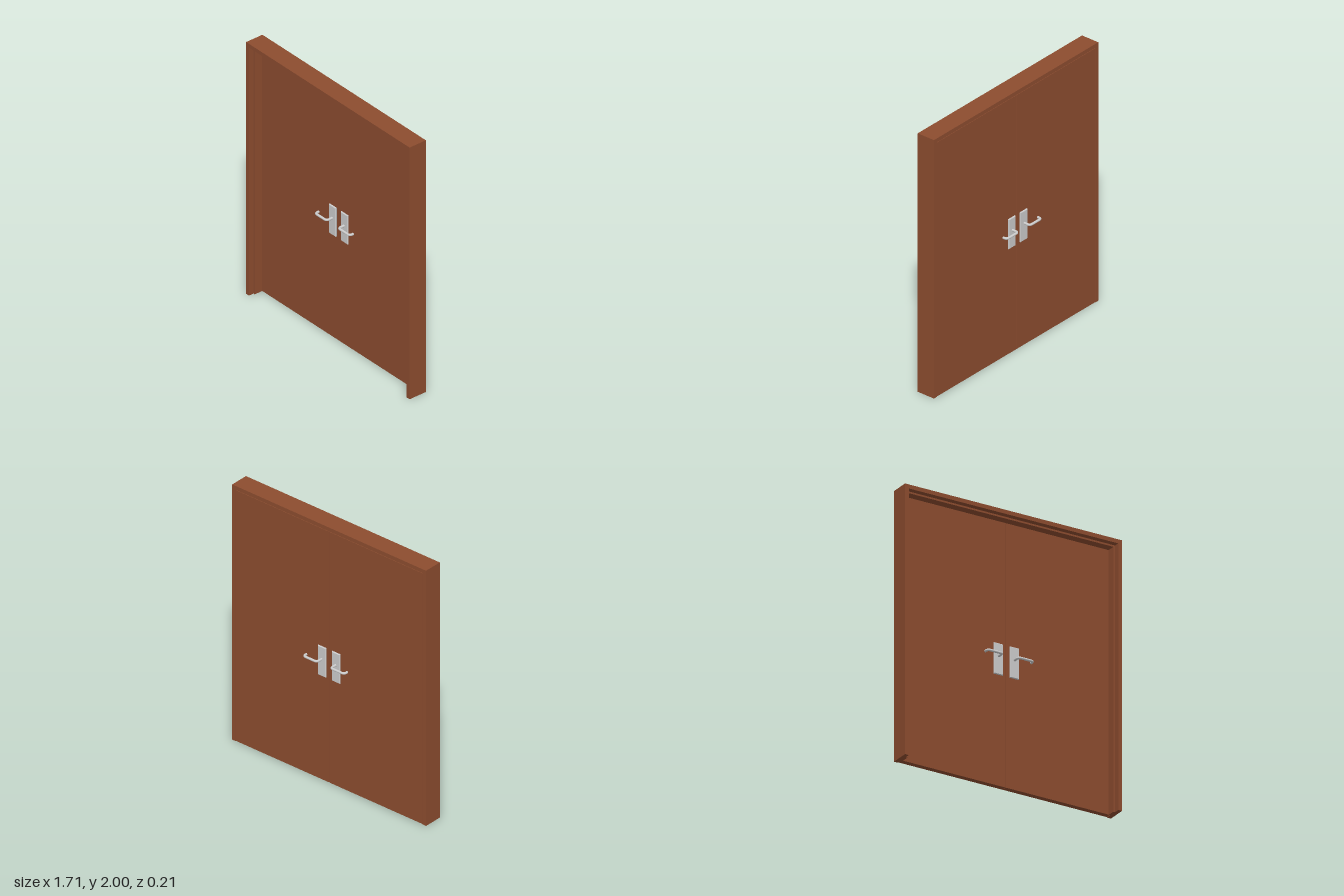
import * as THREE from 'three';

const wood = new THREE.MeshStandardMaterial({ color: 0x8c4c2f });
const metal = new THREE.MeshStandardMaterial({ color: 0xcccccc });

const DOOR_BACK = -0.035, DOOR_FRONT = 0.005;

function addMesh(parent, name, geometry, material) {
  const mesh = new THREE.Mesh(geometry, material);
  mesh.name = name;
  parent.add(mesh);
  return mesh;
}

// Two jambs and a head in one piece, open at the floor
function portal(outerX, outerY, innerX, innerY, z0, z1) {
  const shape = new THREE.Shape([
    [-outerX, 0], [-innerX, 0], [-innerX, innerY], [innerX, innerY],
    [innerX, 0], [outerX, 0], [outerX, outerY], [-outerX, outerY],
  ].map(([x, y]) => new THREE.Vector2(x, y)));
  return new THREE.ExtrudeGeometry(shape, { depth: z1 - z0, bevelEnabled: false }).translate(0, 0, z0);
}

// Plate with chamfered front edges, standing on z = 0
function plateGeometry(w, h, d, bevel) {
  const x = w / 2 - bevel, y = h / 2 - bevel;
  const shape = new THREE.Shape([[-x, -y], [x, -y], [x, y], [-x, y]].map(p => new THREE.Vector2(...p)));
  return new THREE.ExtrudeGeometry(shape, {
    depth: d - 2 * bevel, bevelEnabled: true, bevelSize: bevel, bevelThickness: bevel, bevelSegments: 1,
  }).translate(0, 0, bevel);
}

// Lever path: out from the plate, sideways, then back toward the door
function leverGeometry(dir, radius) {
  const reach = 0.118 * dir, out = 0.063, bend = 0.022, b = bend * dir;
  const v = (x, z) => new THREE.Vector3(x, 0, z);
  const path = new THREE.CurvePath();
  path.add(new THREE.LineCurve3(v(0, 0), v(0, out - bend)));
  path.add(new THREE.QuadraticBezierCurve3(v(0, out - bend), v(0, out), v(b, out)));
  path.add(new THREE.LineCurve3(v(b, out), v(reach - b, out)));
  path.add(new THREE.QuadraticBezierCurve3(v(reach - b, out), v(reach, out), v(reach, out - bend)));
  path.add(new THREE.LineCurve3(v(reach, out - bend), v(reach, 0.032)));
  return new THREE.TubeGeometry(path, 48, radius, 14, false);
}

// Handle facing +z, lever pointing toward dir
function makeHandle(name, dir) {
  const radius = 0.009;
  const handle = new THREE.Group();
  handle.name = name;
  addMesh(handle, 'handlePlate', plateGeometry(0.073, 0.23, 0.014, 0.004), metal);
  const lever = new THREE.Group();
  lever.name = 'lever';
  lever.position.y = 0.02;
  handle.add(lever);
  addMesh(lever, 'leverBar', leverGeometry(dir, radius), metal);
  // Flat end of the bar faces the door
  const cap = addMesh(lever, 'leverEnd', new THREE.CircleGeometry(radius, 14), metal);
  cap.position.set(0.118 * dir, 0, 0.032);
  cap.rotation.y = Math.PI;
  return handle;
}

export function createModel() {
  const model = new THREE.Group();
  model.name = 'doubleDoor';

  // Frame lining with a raised stop behind which the leaves close
  addMesh(model, 'doorFrame', portal(0.855, 2, 0.825, 1.97, DOOR_BACK, 0.107), wood);
  addMesh(model, 'doorStop', portal(0.826, 1.971, 0.812, 1.957, DOOR_FRONT + 0.001, 0.067), wood);

  for (const side of [-1, 1]) {
    const label = side > 0 ? 'left' : 'right';

    // Door leaf
    const x0 = 0.002, x1 = 0.822, y0 = 0.003, y1 = 1.967;
    const leaf = addMesh(model, label + 'Door',
      new THREE.BoxGeometry(x1 - x0, y1 - y0, DOOR_FRONT - DOOR_BACK), wood);
    leaf.position.set(side * (x0 + x1) / 2, (y0 + y1) / 2, (DOOR_FRONT + DOOR_BACK) / 2);

    // Handles on both faces, levers pointing away from the meeting edge
    const front = makeHandle(label + 'FrontHandle', side);
    front.position.set(side * 0.0625 + 0.001, 0.935, DOOR_FRONT);
    const back = makeHandle(label + 'BackHandle', -side);
    back.position.set(side * 0.0615 - 0.007, 0.935, DOOR_BACK);
    back.rotation.y = Math.PI;
    model.add(front, back);
  }
  return model;
}
